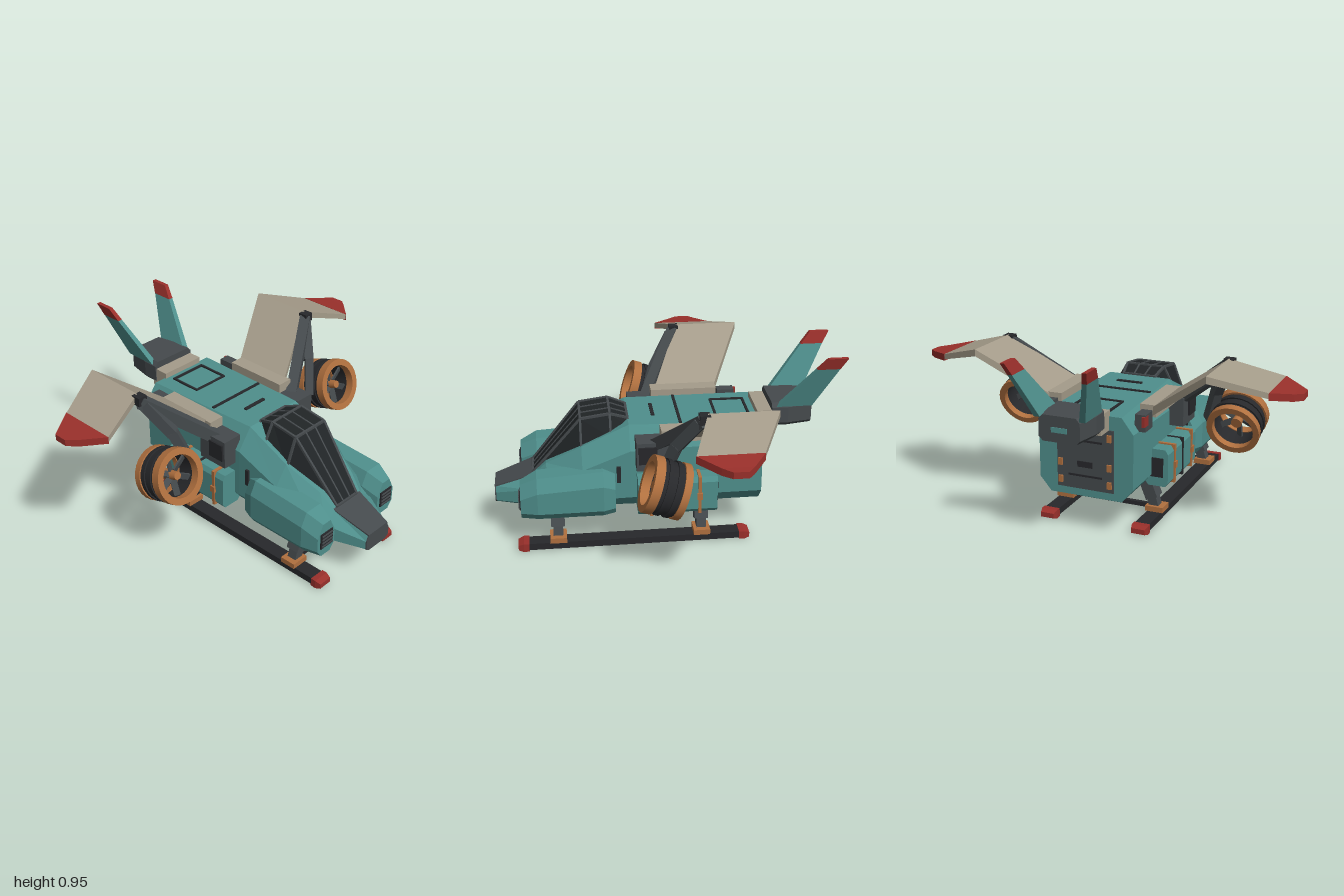
import * as THREE from 'three';
import { toCreasedNormals } from 'three/addons/utils/BufferGeometryUtils.js';

const mat = (name, color) => {
  const m = new THREE.MeshStandardMaterial({ color });
  m.name = name;
  return m;
};
const V = (x, y, z) => new THREE.Vector3(x, y, z);

// Flat-shaded hull through rings of equal point count; the winding fixes itself.
function loft(rings) {
  const n = rings[0].length, tris = [];
  for (let r = 0; r + 1 < rings.length; r++)
    for (let i = 0; i < n; i++) {
      const j = (i + 1) % n, a = rings[r], b = rings[r + 1];
      tris.push([a[i], a[j], b[j]], [a[i], b[j], b[i]]);
    }
  const first = rings[0], last = rings[rings.length - 1];
  for (let i = 1; i + 1 < n; i++)
    tris.push([first[0], first[i + 1], first[i]], [last[0], last[i], last[i + 1]]);
  let vol = 0;
  for (const [a, b, c] of tris) vol += a.dot(b.clone().cross(c));
  const pos = [];
  for (const [a, b, c] of tris)
    for (const p of vol < 0 ? [a, c, b] : [a, b, c]) pos.push(p.x, p.y, p.z);
  const g = new THREE.BufferGeometry();
  g.setAttribute('position', new THREE.Float32BufferAttribute(pos, 3));
  g.computeVertexNormals();
  return g;
}

// Eight-sided section: bottom/top heights, side corner heights, half widths.
const octagon = (z, yb, yl, yu, yt, bw, w, tw, cx = 0) => [
  [-bw, yb], [bw, yb], [w, yl], [w, yu], [tw, yt], [-tw, yt], [-w, yu], [-w, yl],
].map(([x, y]) => V(cx + x, y, z));

// Four-cornered wing section at x
const chord = (x, y, zf, zb, t) => [
  V(x, y - t / 2, zf), V(x, y + t / 2, zf), V(x, y + t / 2, zb), V(x, y - t / 2, zb)];

// Square-edged ring around z
function ring(r0, r1, z0, z1) {
  const p = [[r0, z0], [r1, z0], [r1, z1], [r0, z1], [r0, z0]].map(([x, y]) => new THREE.Vector2(x, y));
  return toCreasedNormals(new THREE.LatheGeometry(p, 28).rotateX(Math.PI / 2), 0.6);
}

export function createModel() {
  const model = new THREE.Group();
  model.name = 'tiltFanAircraft';
  const teal = mat('teal paint', 0x4f8f8c), cream = mat('cream panel', 0xa59c8a),
    grey = mat('dark grey metal', 0x454a4d), black = mat('black trim', 0x27282b),
    glass = mat('dark glass', 0x202426), copper = mat('copper', 0xb0703f), red = mat('red tip', 0x9a302b);

  const add = (name, geo, m, parent = model) => {
    const mesh = new THREE.Mesh(geo, m);
    mesh.name = name;
    parent.add(mesh);
    return mesh;
  };
  const box = (name, m, x, y, z, w, h, d, parent) => {
    const b = add(name, new THREE.BoxGeometry(w, h, d), m, parent);
    b.position.set(x, y, z);
    return b;
  };
  // Box beam from a to b
  const beam = (name, m, a, b, w, h, parent) => {
    const o = box(name, m, 0, 0, 0, w, h, a.distanceTo(b), parent);
    o.position.copy(a).lerp(b, 0.5);
    o.lookAt(b);
    return o;
  };

  // Fuselage
  add('fuselage', loft([
    octagon(-0.47, 0.19, 0.26, 0.54, 0.62, 0.19, 0.25, 0.19),
    octagon(0.20, 0.19, 0.26, 0.52, 0.63, 0.19, 0.25, 0.17),
    octagon(0.44, 0.19, 0.25, 0.42, 0.52, 0.18, 0.24, 0.17),
    octagon(0.62, 0.185, 0.23, 0.34, 0.415, 0.16, 0.20, 0.12),
    octagon(0.70, 0.18, 0.21, 0.29, 0.335, 0.13, 0.17, 0.10),
    octagon(0.885, 0.18, 0.195, 0.24, 0.27, 0.065, 0.085, 0.07),
  ]), teal);
  add('noseCap', loft([0.884, 0.89].map(z => octagon(z, 0.18, 0.195, 0.24, 0.272, 0.065, 0.086, 0.07))), grey);
  add('nosePanel', loft([[0.68, 0.351, 0.1], [0.70, 0.339, 0.1], [0.89, 0.275, 0.072]].map(([z, y, w]) =>
    [V(-w, y - 0.008, z), V(w, y - 0.008, z), V(w, y, z), V(-w, y, z)])), grey);

  // Canopy: z, base height, base half width, top height, top half width
  const canopy = [[0.20, 0.59, 0.13, 0.632, 0.09], [0.29, 0.55, 0.162, 0.665, 0.105],
    [0.44, 0.48, 0.165, 0.645, 0.105], [0.69, 0.31, 0.09, 0.345, 0.075]];
  add('canopyGlass', loft(canopy.map(([z, yb, w, yt, t]) =>
    [V(-w + 0.02, yb - 0.05, z), V(w - 0.02, yb - 0.05, z), V(w, yb + 0.01, z), V(t, yt, z), V(-t, yt, z), V(-w, yb + 0.01, z)])), glass);
  const frame = new THREE.Group();
  frame.name = 'canopyFrame';
  model.add(frame);
  canopy.forEach(([z, yb, w, yt, t], i) => {
    beam('hoopTop', grey, V(-t, yt, z), V(t, yt, z), 0.012, 0.012, frame);
    const next = canopy[i + 1];
    for (const s of [-1, 1]) {
      beam('hoopSide', grey, V(s * t, yt, z), V(s * w, yb + 0.01, z), 0.012, 0.012, frame);
      if (!next) continue;
      const [z2, yb2, w2, yt2, t2] = next;
      beam('topRail', grey, V(s * t, yt, z), V(s * t2, yt2, z2), 0.012, 0.012, frame);
      beam('sill', grey, V(s * w, yb + 0.01, z), V(s * w2, yb2 + 0.01, z2), 0.012, 0.012, frame);
      beam('centreRail', grey, V(s * t * 0.33, yt, z), V(s * t2 * 0.33, yt2, z2), 0.008, 0.008, frame);
    }
  });

  // Roof hatch and vents
  for (const s of [-1, 1]) {
    box('hatchSide', black, s * 0.1, 0.626, -0.335, 0.012, 0.008, 0.17);
    box('hatchEnd', black, 0, 0.626, -0.335 + s * 0.085, 0.21, 0.008, 0.012);
  }
  box('roofVentLong', black, 0, 0.629, -0.06, 0.34, 0.008, 0.014);
  box('roofVentShort', black, 0, 0.631, 0.07, 0.14, 0.008, 0.018);

  // Rear door
  box('rearDoor', grey, 0, 0.39, -0.473, 0.30, 0.32, 0.009);
  box('doorHandle', black, 0, 0.36, -0.478, 0.08, 0.03, 0.009);
  for (const s of [-1, 1]) {
    box('doorSeam', black, 0, 0.39 + s * 0.09, -0.478, 0.18, 0.01, 0.006);
    for (const y of [0.27, 0.36, 0.51]) box('doorLatch', copper, s * 0.13, y, -0.478, 0.022, 0.035, 0.02);
  }

  // Tail
  box('tailNeck', cream, 0, 0.60, -0.51, 0.25, 0.10, 0.10);
  add('tailBox', loft([[-0.535, 0.13], [-0.62, 0.13], [-0.745, 0.105]].map(([z, w]) =>
    octagon(z, 0.56, 0.58, 0.665, 0.687, w - 0.02, w, w - 0.02))), grey);
  box('tailLight', teal, 0, 0.62, -0.746, 0.08, 0.025, 0.006);

  for (const s of [-1, 1]) {
    const side = new THREE.Group();
    side.name = s > 0 ? 'leftSide' : 'rightSide';
    model.add(side);
    const sbox = (name, m, x, ...rest) => box(name, m, s * x, ...rest, side);
    const sbeam = (name, m, a, b, w, h) => beam(name, m, V(s * a[0], a[1], a[2]), V(s * b[0], b[1], b[2]), w, h, side);
    const sloft = (name, m, rings) => add(name, loft(rings.map(r => r.map(p => V(s * p.x, p.y, p.z)))), m, side);

    // Tail fin with red tip
    const fin = (x, y, zf, zb, t) => [V(x - t, y, zf), V(x + t, y, zf), V(x + t, y, zb), V(x - t, y, zb)];
    sloft('tailFin', teal, [fin(0.115, 0.67, -0.56, -0.74, 0.016), fin(0.183, 0.89, -0.74, -0.855, 0.012)]);
    sloft('finTip', red, [fin(0.183, 0.89, -0.74, -0.855, 0.013), fin(0.2, 0.95, -0.79, -0.89, 0.011)]);

    // Front pod with intake
    sloft('frontPod', teal, [[0.28, 0.06, 0.40], [0.34, 0.085, 0.43], [0.67, 0.085, 0.41], [0.755, 0.062, 0.37]].map(([z, w, yt]) =>
      octagon(z, 0.185, 0.225, yt - 0.07, yt, w - 0.03, w, w - 0.035, 0.23)));
    sbox('intake', black, 0.23, 0.275, 0.757, 0.085, 0.085, 0.009);
    for (let i = 0; i < 4; i++) sbox('intakeSlat', grey, 0.23, 0.246 + i * 0.02, 0.763, 0.075, 0.006, 0.008);
    sbox('sideVent', black, 0.252, 0.395, 0.26, 0.012, 0.09, 0.02);

    // Saddle cargo boxes with straps
    for (const [z, d] of [[0.08, 0.18], [-0.13, 0.20]]) {
      sloft('cargoBox', teal, [z - d / 2, z + d / 2].map(c => octagon(c, 0.2, 0.22, 0.37, 0.395, 0.045, 0.06, 0.045, 0.275)));
    }
    sbox('cargoBand', black, 0.275, 0.297, -0.02, 0.125, 0.2, 0.014);
    for (const z of [0.105, -0.14]) {
      sbox('strap', copper, 0.28, 0.3, z, 0.122, 0.204, 0.016);
      sbox('strapBuckle', copper, 0.342, 0.295, z, 0.012, 0.035, 0.028);
    }
    sbox('cargoGrille', black, 0.275, 0.3, -0.232, 0.07, 0.1, 0.008);

    // Shoulder fittings
    sbox('wingRoot', cream, 0.255, 0.615, -0.125, 0.085, 0.06, 0.35);
    sbox('rootBlock', grey, 0.27, 0.52, 0.09, 0.11, 0.15, 0.17);
    sbox('rootJoint', black, 0.31, 0.53, 0.12, 0.05, 0.09, 0.09);
    sbox('rearBox', grey, 0.255, 0.58, -0.355, 0.055, 0.085, 0.09);
    sbox('rearMarker', red, 0.276, 0.59, -0.39, 0.016, 0.05, 0.05);

    // Gull wing
    sloft('innerWing', cream, [chord(0.26, 0.60, 0.03, -0.29, 0.045), chord(0.6, 0.852, -0.13, -0.465, 0.035)]);
    sloft('outerWing', cream, [chord(0.6, 0.852, -0.13, -0.465, 0.035), chord(0.86, 0.775, -0.04, -0.345, 0.028)]);
    sloft('wingTip', red, [chord(0.86, 0.772, -0.038, -0.347, 0.036), chord(0.96, 0.76, -0.135, -0.28, 0.036), chord(1.0, 0.76, -0.18, -0.25, 0.032)]);
    sbeam('wingBeam', grey, [0.27, 0.56, 0.08], [0.6, 0.835, -0.115], 0.055, 0.06);
    sbox('wingHinge', black, 0.6, 0.845, -0.115, 0.05, 0.045, 0.05);
    sbeam('fanArm', grey, [0.585, 0.82, -0.1], [0.5, 0.66, 0.0], 0.05, 0.055);
    sbeam('fanArmLower', grey, [0.505, 0.67, 0.0], [0.445, 0.49, 0.06], 0.045, 0.05);

    // Tilted ducted fan
    const fan = new THREE.Group();
    fan.name = 'ductedFan';
    fan.position.set(s * 0.595, 0.497, 0.065);
    fan.rotation.x = -0.33;
    side.add(fan);
    add('frontLip', ring(0.106, 0.14, 0.045, 0.09), copper, fan);
    add('duct', ring(0.11, 0.13, -0.06, 0.045), black, fan);
    for (const z of [-0.03, 0.015]) add('ductRib', ring(0.12, 0.137, z - 0.01, z + 0.01), black, fan);
    add('rearLip', ring(0.106, 0.137, -0.09, -0.055), copper, fan);
    add('hub', new THREE.CylinderGeometry(0.02, 0.028, 0.09, 16).rotateX(Math.PI / 2), copper, fan).position.z = 0.02;
    for (let i = 0; i < 6; i++) {
      const blade = new THREE.BoxGeometry(0.032, 0.09, 0.01).rotateY(0.5).translate(0, 0.067, 0.02).rotateZ(i * Math.PI / 3);
      add('blade', blade, grey, fan);
    }

    // Skid and legs
    sbox('skid', black, 0.25, 0.024, 0.185, 0.075, 0.036, 1.11);
    for (const [z0, z1] of [[0.725, 0.78], [-0.355, -0.41]])
      sloft('skidTip', red, [[z0, 0.002, 0.045, 0.043], [(z0 + z1) / 2, 0, 0.045, 0.043], [z1, 0.008, 0.034, 0.036]].map(([z, b, t, w]) =>
        [V(0.25 - w, b, z), V(0.25 + w, b, z), V(0.25 + w, t, z), V(0.25 - w, t, z)]));
    for (const z of [0.575, -0.16]) {
      sbox('skidBoot', copper, 0.25, 0.057, z, 0.095, 0.028, 0.085);
      sbeam('legLower', grey, [0.245, 0.06, z], [0.222, 0.14, z], 0.05, 0.05);
      sbeam('legUpper', grey, [0.235, 0.11, z], [0.195, 0.21, z], 0.07, 0.065);
    }
  }
  for (const z of [0.575, -0.16]) box('crossBar', black, 0, 0.06, z, 0.42, 0.022, 0.022);
  return model;
}
